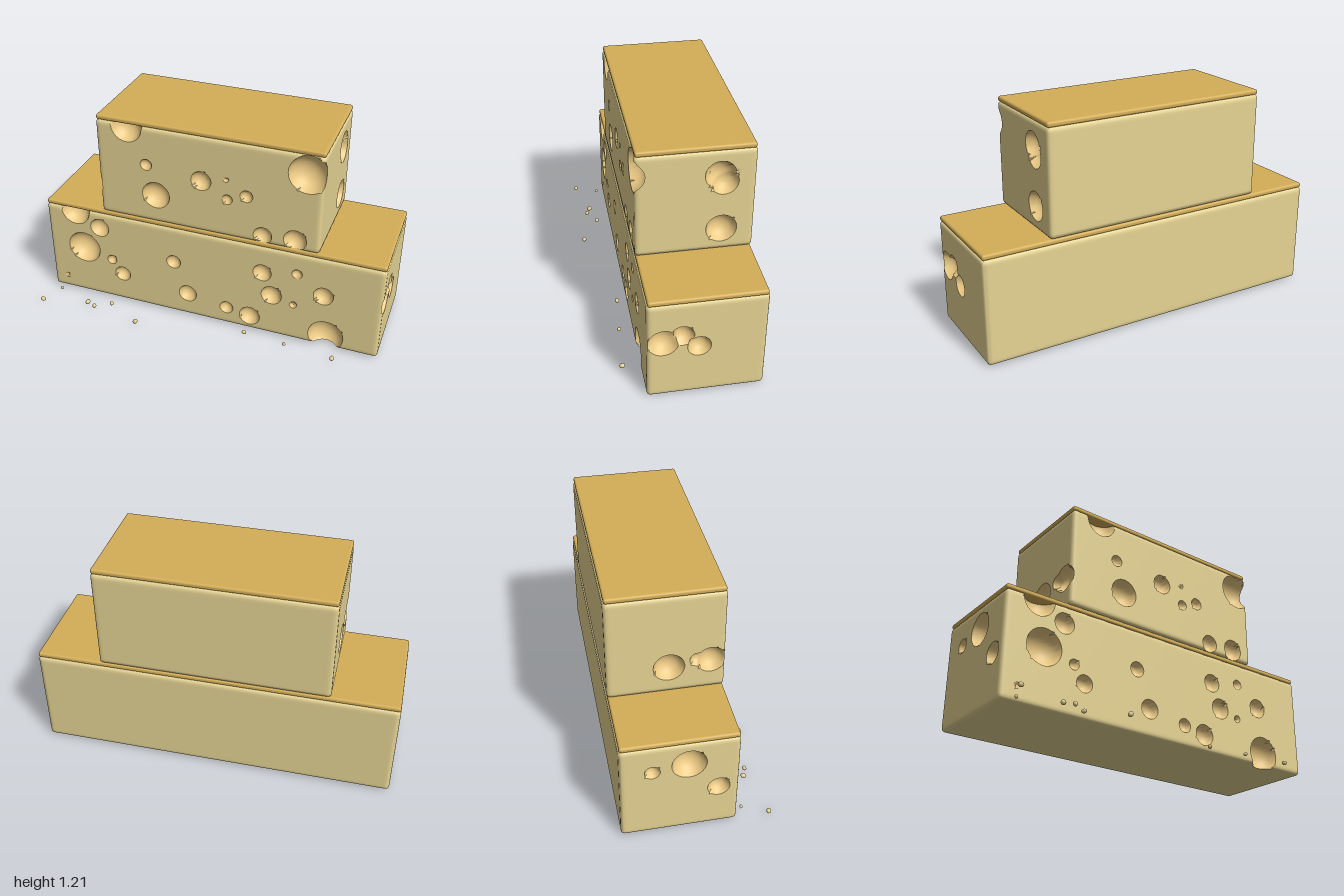
import * as THREE from 'three';
import { toCreasedNormals } from 'three/addons/utils/BufferGeometryUtils.js';
import { RoundedBoxGeometry } from 'three/addons/geometries/RoundedBoxGeometry.js';

const cheeseMat = new THREE.MeshStandardMaterial({ color: 0xe6d494 });
const holeMat = new THREE.MeshStandardMaterial({ color: 0xedcb85 });
const rindMat = new THREE.MeshStandardMaterial({ color: 0xd4ae58 });

const STEP = 0.0125, BEVEL = 0.02, Z_MID = -0.099, DEPTH = 0.602;

// Holes per face: [position along the face (x or z), y, radius]
const LOWER = {
  halfWidth: 0.994, bottom: 0.01, top: 0.588,
  front: [
    [-0.81, 0.575, 0.088], [-0.66, 0.49, 0.058], [-0.77, 0.33, 0.1], [-0.595, 0.283, 0.03],
    [-0.53, 0.197, 0.048], [-0.905, 0.095, 0.018], [-0.203, 0.363, 0.043], [-0.12, 0.16, 0.054],
    [0.117, 0.123, 0.04], [0.256, 0.1, 0.06], [0.38, 0.28, 0.059], [0.323, 0.42, 0.053],
    [0.52, 0.46, 0.03], [0.507, 0.248, 0.022], [0.672, 0.35, 0.056], [0.7, 0.08, 0.1]],
  left: [[0.12, 0.355, 0.078], [0.026, 0.39, 0.06], [-0.06, 0.313, 0.06]],
  right: [[-0.053, 0.455, 0.088], [-0.237, 0.43, 0.04], [0.1, 0.27, 0.058]],
};
const UPPER = {
  halfWidth: 0.631, bottom: 0.615, top: 1.19,
  front: [
    [-0.452, 1.175, 0.088], [-0.345, 0.967, 0.034], [-0.294, 0.787, 0.08], [-0.03, 0.93, 0.057],
    [0.11, 0.967, 0.017], [0.118, 0.846, 0.03], [0.224, 0.887, 0.036], [0.318, 0.663, 0.052],
    [0.497, 0.673, 0.063], [0.55, 1.08, 0.108]],
  left: [[-0.222, 1.055, 0.078], [-0.242, 1.015, 0.071], [-0.235, 0.742, 0.079]],
  right: [[-0.084, 0.77, 0.08], [0.06, 0.8, 0.04], [0.13, 0.79, 0.075]],
};

// Turn the hole lists into spheres sitting slightly outside their face
function makeSpheres(tier) {
  const front = Z_MID + DEPTH / 2, w = tier.halfWidth;
  const sphere = (axis, sign, face, along, [u, y, r]) => {
    const c = new THREE.Vector3(0, y, 0);
    c[along] = u;
    c[axis] = face + sign * 0.2 * r;
    return { axis, along, sign, face, c, r, R: r * Math.sqrt(1.04) };
  };
  return [
    ...tier.front.map(h => sphere('z', 1, front, 'x', h)),
    ...tier.left.map(h => sphere('x', 1, w, 'z', h)),
    ...tier.right.map(h => sphere('x', -1, -w, 'z', h)),
  ];
}

// Pull points close to a hole's outline onto it, for a clean rim
function snapToRim(p, s) {
  if (Math.abs(p[s.axis] - s.face) > 1e-4) return;
  const du = p[s.along] - s.c[s.along], dy = p.y - s.c.y, d = Math.hypot(du, dy);
  if (d > 1e-6 && Math.abs(d - s.r) < 0.6 * STEP) {
    p[s.along] = s.c[s.along] + du * s.r / d;
    p.y = s.c.y + dy * s.r / d;
  }
}

// Push points inside a sphere inwards onto its far surface
function carve(p, s) {
  if (p.distanceTo(s.c) >= s.R) return;
  const du = p[s.along] - s.c[s.along], dy = p.y - s.c.y;
  p[s.axis] = s.c[s.axis] - s.sign * Math.sqrt(Math.max(0, s.R * s.R - du * du - dy * dy));
}

function makeBlock(tier, name) {
  const { halfWidth, bottom, top } = tier, height = top - bottom;
  const spheres = makeSpheres(tier);
  const geo = new THREE.BoxGeometry(2 * halfWidth, height, DEPTH,
    Math.round(2 * halfWidth / STEP), Math.round(height / STEP), Math.round(DEPTH / STEP));
  const pos = geo.attributes.position;
  const inner = new THREE.Vector3(halfWidth - BEVEL, height / 2 - BEVEL, DEPTH / 2 - BEVEL);
  const low = inner.clone().negate();
  const centre = new THREE.Vector3(0, (top + bottom) / 2, Z_MID);
  const p = new THREE.Vector3(), q = new THREE.Vector3();
  const carved = [];
  for (let i = 0; i < pos.count; i++) {
    // Rounded edges
    p.fromBufferAttribute(pos, i);
    q.copy(p).clamp(low, inner);
    const onFlat = ['x', 'y', 'z'].filter(a => Math.abs(p[a] - q[a]) > 1e-6).length === 1;
    p.sub(q).setLength(BEVEL).add(q).add(centre);
    // Holes
    if (onFlat) spheres.forEach(s => snapToRim(p, s));
    for (let pass = 0; pass < 2; pass++) spheres.forEach(s => carve(p, s));
    carved.push(spheres.some(s => p.distanceTo(s.c) < s.R + 1e-4));
    pos.setXYZ(i, p.x, p.y, p.z);
  }
  // Separate the outer skin from the hole surfaces
  const skin = [], holes = [], index = geo.index.array;
  for (let i = 0; i < index.length; i += 3) {
    const tri = [index[i], index[i + 1], index[i + 2]];
    (tri.every(v => carved[v]) ? holes : skin).push(...tri);
  }
  const group = new THREE.Group();
  group.name = name;
  const addPart = (list, material, crease, partName) => {
    const part = new THREE.BufferGeometry();
    part.setAttribute('position', pos);
    part.setIndex(list);
    const mesh = new THREE.Mesh(toCreasedNormals(part, crease), material);
    mesh.name = partName;
    group.add(mesh);
  };
  addPart(skin, cheeseMat, 0.9, 'cheeseBody');
  addPart(holes, holeMat, 0.9, 'cheeseHoles');

  // Rind slab on top
  const rind = new THREE.Mesh(
    new RoundedBoxGeometry(2 * halfWidth - 0.004, 0.029, DEPTH - 0.01, 4, 0.012), rindMat);
  rind.name = 'rind';
  rind.position.set(0, top + 0.012, Z_MID);
  group.add(rind);
  return group;
}

// Crumbs scattered in front: [x, z]
function makeCrumbs() {
  const group = new THREE.Group();
  group.name = 'crumbs';
  const spots = [[-0.985, 0.38], [-0.93, 0.245], [-0.72, 0.315], [-0.667, 0.335], [-0.58, 0.28],
    [-0.38, 0.382], [0.243, 0.255], [0.485, 0.275], [0.765, 0.297]];
  spots.forEach(([x, z], i) => {
    const r = [0.014, 0.01, 0.015, 0.013, 0.013, 0.015, 0.013, 0.011, 0.014][i];
    const crumb = new THREE.Mesh(new THREE.IcosahedronGeometry(r, 1), cheeseMat);
    crumb.name = 'crumb';
    crumb.scale.set(1.1, 0.9, 0.9);
    crumb.rotation.set(i, i * 1.7, i * 0.6);
    crumb.position.set(x, 0.018, z);
    group.add(crumb);
  });
  return group;
}

export function createModel() {
  const model = new THREE.Group();
  model.name = 'stackedCheese';
  model.add(makeBlock(LOWER, 'lowerBlock'), makeBlock(UPPER, 'upperBlock'), makeCrumbs());
  return model;
}
